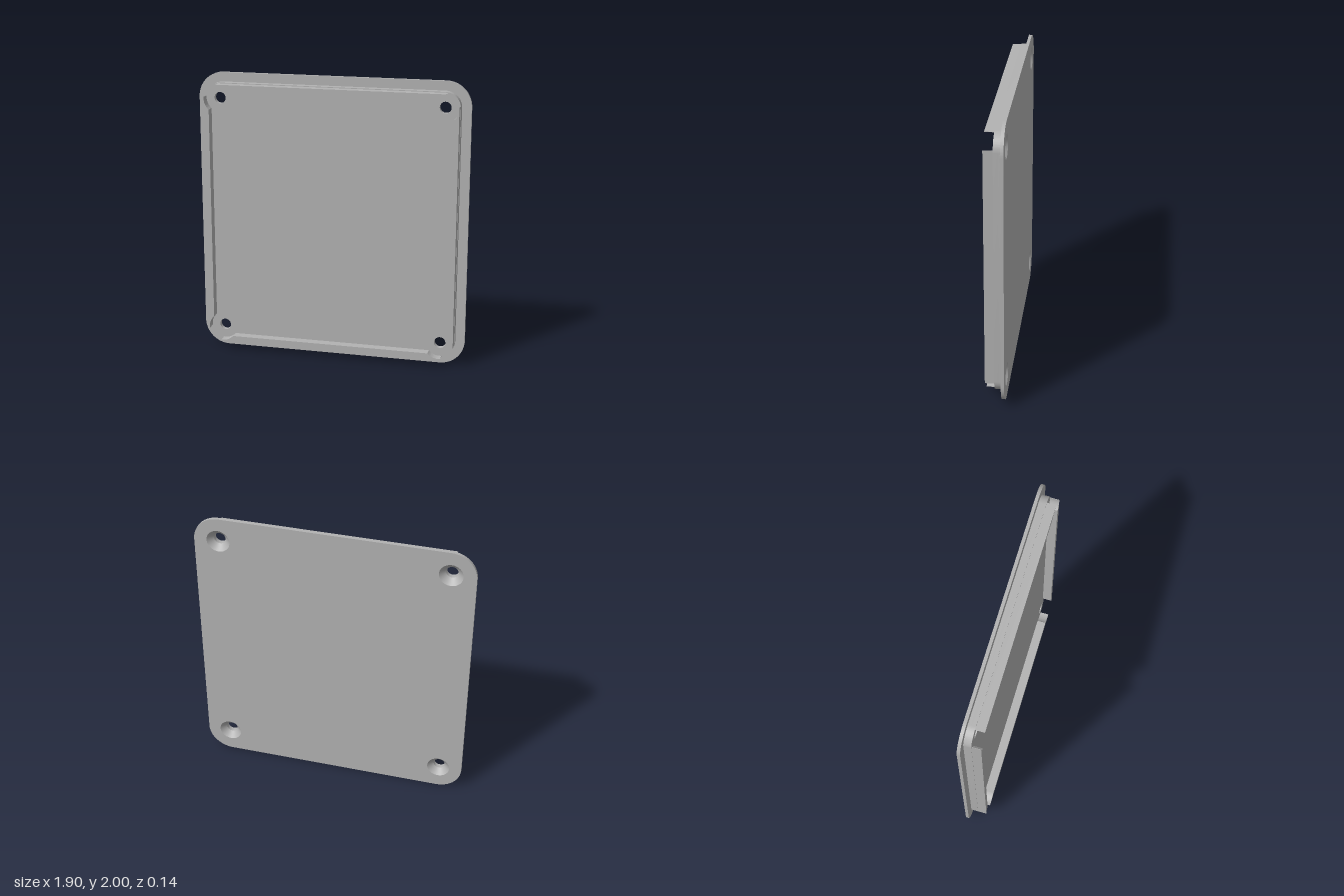
import * as THREE from 'three';
import { toCreasedNormals } from 'three/addons/utils/BufferGeometryUtils.js';

const HOLE_X = 0.783, HOLE_Y = 0.83; // screw hole centres, measured from the middle
const BACK = -0.068, FLANGE = -0.046, SINK = -0.028, FLOOR = 0.005, FRONT = 0.068;

// Rounded rectangle with four round corner holes
function plateShape(w, h, r, holeRadius) {
  const s = new THREE.Shape();
  s.absarc(w - r, h - r, r, 0, Math.PI / 2);
  s.absarc(-w + r, h - r, r, Math.PI / 2, Math.PI);
  s.absarc(-w + r, -h + r, r, Math.PI, Math.PI * 1.5);
  s.absarc(w - r, -h + r, r, Math.PI * 1.5, Math.PI * 2);
  s.closePath();
  for (const x of [-1, 1]) for (const y of [-1, 1]) {
    const hole = new THREE.Path();
    hole.absarc(x * HOLE_X, y * HOLE_Y, holeRadius, 0, Math.PI * 2, true);
    s.holes.push(hole);
  }
  return s;
}

// Straight rib whose ends are scooped out around the screw holes
function ribShape(along, across) {
  const r = 0.0985, outer = across + 0.1, inner = across + 0.064;
  const a0 = THREE.MathUtils.degToRad(98), a1 = Math.asin((inner - across) / r);
  const s = new THREE.Shape();
  s.moveTo(along + 0.014, outer);
  s.lineTo(-along - 0.014, outer);
  s.absarc(-along, across, r, a0, a1, true);
  s.absarc(along, across, r, Math.PI - a1, Math.PI - a0, true);
  s.closePath();
  return s;
}

function extrude(shape, z0, z1) {
  const g = new THREE.ExtrudeGeometry(shape, { depth: z1 - z0, bevelEnabled: false, curveSegments: 20 });
  g.translate(0, 0, z0);
  return toCreasedNormals(g, 0.6);
}

export function createModel() {
  const model = new THREE.Group();
  model.name = 'coverPlate';
  const grey = new THREE.MeshStandardMaterial({ color: 0xb2b2b2 });
  grey.name = 'grey';
  const greyLining = new THREE.MeshStandardMaterial({ color: 0xb2b2b2, side: THREE.DoubleSide });
  greyLining.name = 'greyLining';

  const add = (name, geometry, material = grey) => {
    const mesh = new THREE.Mesh(geometry, material);
    mesh.name = name;
    mesh.position.y = 1;
    model.add(mesh);
    return mesh;
  };

  // Outer flange and the raised step in front of it
  add('flange', extrude(plateShape(0.95, 1, 0.175, 0.08), BACK, FLANGE));
  add('stepBase', extrude(plateShape(0.885, 0.935, 0.11, 0.08), FLANGE, SINK));
  add('stepFront', extrude(plateShape(0.885, 0.935, 0.11, 0.04), SINK, FLOOR));

  // Four locating ribs
  ['topRib', 'rightRib', 'bottomRib', 'leftRib'].forEach((name, i) => {
    const shape = i % 2 ? ribShape(HOLE_Y, HOLE_X) : ribShape(HOLE_X, HOLE_Y);
    add(name, extrude(shape, FLOOR, FRONT)).rotation.z = i * Math.PI / 2;
  });

  // Countersunk linings of the screw holes
  const cone = new THREE.CylinderGeometry(0.04, 0.08, SINK - BACK, 40, 1, true);
  cone.rotateX(Math.PI / 2);
  cone.translate(0, 0, (SINK + BACK) / 2);
  for (const x of [-1, 1]) for (const y of [-1, 1]) {
    add('countersink', cone, greyLining).position.set(x * HOLE_X, 1 + y * HOLE_Y, 0);
  }
  return model;
}
